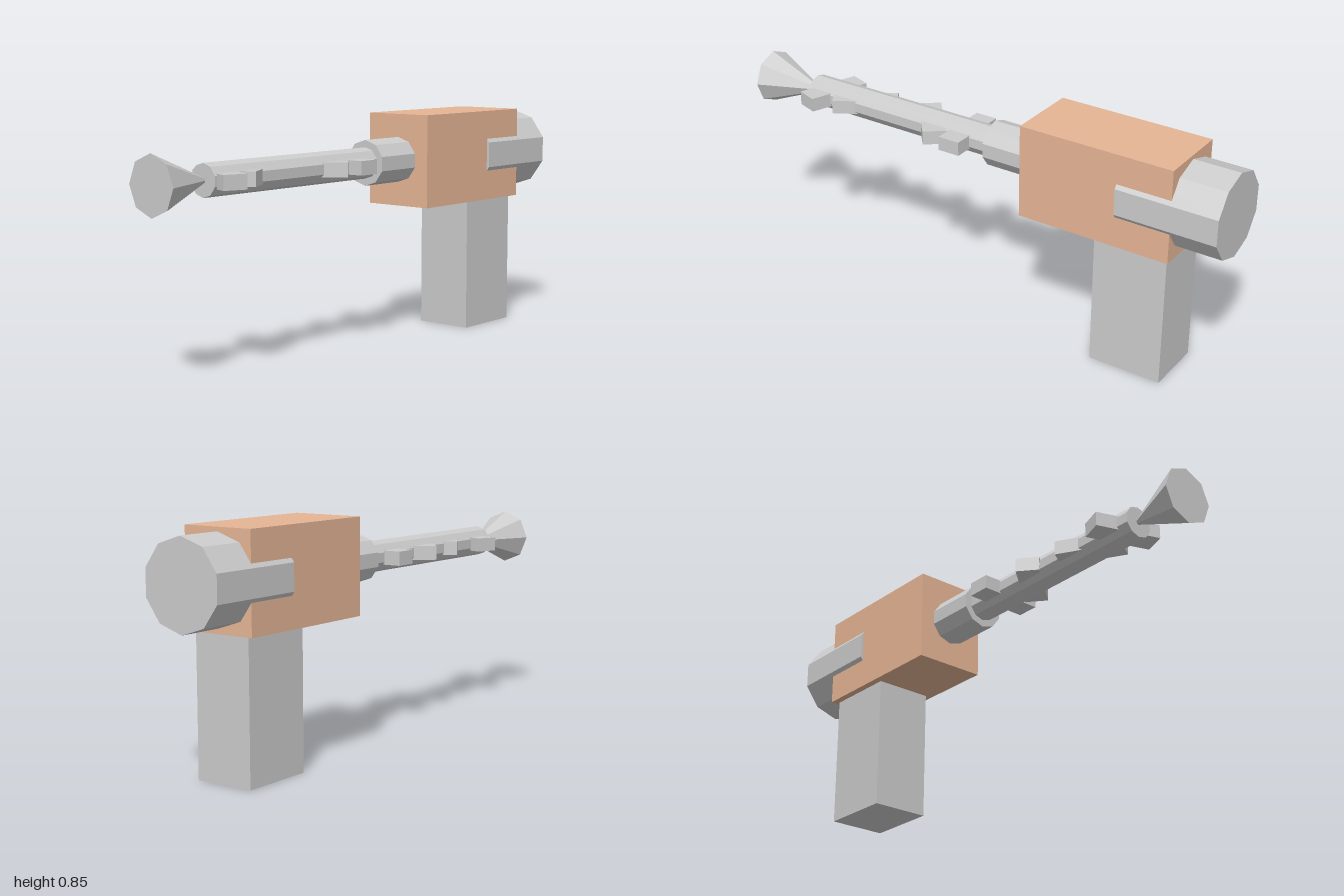
import * as THREE from 'three';

export function createModel() {
  const model = new THREE.Group();
  const grey = new THREE.MeshStandardMaterial({ color: 0xcccccc, flatShading: true });
  const brown = new THREE.MeshStandardMaterial({ color: 0xe6b595, flatShading: true });
  const axisY = 0.681; // height of the barrel axis

  function add(name, geometry, material, x, y, z) {
    const mesh = new THREE.Mesh(geometry, material);
    mesh.name = name;
    mesh.position.set(x, y, z);
    model.add(mesh);
    return mesh;
  }

  // Faceted round part lying along z, with one corner pointing up
  function round(name, rFront, rBack, zBack, zFront, sides) {
    const geometry = new THREE.CylinderGeometry(rFront, rBack, zFront - zBack, sides);
    geometry.rotateX(Math.PI / 2);
    geometry.rotateZ(Math.PI); // corner up
    return add(name, geometry, grey, 0, axisY, (zBack + zFront) / 2);
  }

  // Body and grip
  add('body', new THREE.BoxGeometry(0.278, 0.348, 0.587), brown, 0, 0.679, -0.532);
  add('grip', new THREE.BoxGeometry(0.224, 0.52, 0.28), grey, 0, 0.26, -0.67);

  // Round parts from back to front
  round('rearCap', 0.157, 0.157, -1, -0.62, 10);
  round('collar', 0.085, 0.085, -0.3, -0.045, 10);
  round('barrel', 0.058, 0.058, -0.3, 0.775, 10);
  round('muzzleCone', 0.104, 0, 0.75, 1, 8);

  // Blocks pushed crosswise through the barrel: [z, turn in degrees]
  const blocks = [[0.075, 0], [0.235, 40], [0.545, -60], [0.7, -19]];
  for (const [z, turn] of blocks) {
    const block = add('crossBlock', new THREE.BoxGeometry(0.242, 0.052, 0.086), grey, 0, 0.68, z);
    block.rotation.y = THREE.MathUtils.degToRad(turn);
  }

  return model;
}
